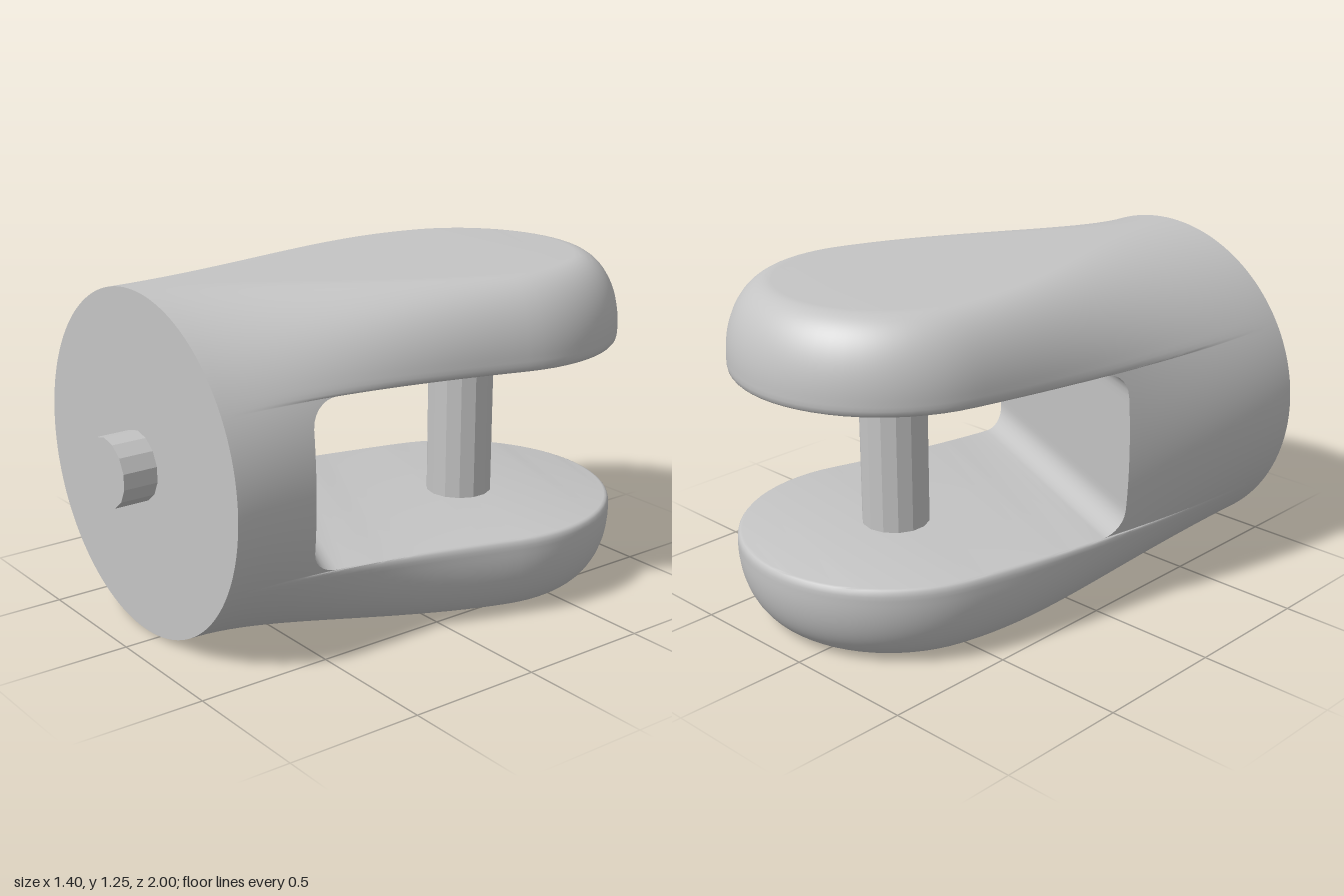
import * as THREE from 'three';
import { toCreasedNormals } from 'three/addons/utils/BufferGeometryUtils.js';

const MID_Y = 0.635, RADIUS = 0.625, FRONT_X = -0.085, FRONT_Z = 0.87;
const HALF_SLOT = 0.31;
const EYE = new THREE.Vector2(0.12, -0.425); // centre of the rounded fork end (x, z)

// Radius of the fork end at a height dy from the middle, with both edges rounded
function eyeRadius(dy) {
  const d = Math.abs(dy);
  const u = Math.min(1, Math.max(0, (d - 0.365) / 0.26));
  const e = 1 - Math.min(1, Math.max(0, (d - HALF_SLOT) / 0.025));
  return 0.575 - 0.17 * (1 - Math.sqrt(1 - u * u)) - 0.018 * (1 - Math.sqrt(1 - e * e));
}

// Side curve in plan, from the round front face to the fork end
function sideCurve(dy, s) {
  const c = Math.sqrt(Math.max(0, RADIUS * RADIUS - dy * dy));
  const R = eyeRadius(dy);
  const n = s < 0 ? new THREE.Vector2(-0.97, -0.243) : new THREE.Vector2(0.953, 0.302);
  const end = EYE.clone().addScaledVector(n, R);
  const x = FRONT_X + s * c;
  const ctrl = s < 0 ? end.clone().add(new THREE.Vector2(-0.12, 0.47))
                     : end.clone().add(new THREE.Vector2(-0.16, 0.51));
  return new THREE.CubicBezierCurve(new THREE.Vector2(x, FRONT_Z),
    new THREE.Vector2(x, s < 0 ? 0.35 : 0.55), ctrl, end);
}

// Where a side curve crosses the slanted slot wall (with its fillet)
function cutAt(curve, dy) {
  const f = Math.min(1, Math.max(0, Math.abs(dy) - 0.22) / 0.09);
  const d = 0.09 * (1 - Math.sqrt(1 - f * f));
  let lo = 0, hi = 1;
  for (let i = 0; i < 30; i++) {
    const t = (lo + hi) / 2, p = curve.getPoint(t);
    if ((p.x + 0.6) * 0.408 - (p.y - 0.05) * 0.913 < d) lo = t; else hi = t;
  }
  return lo;
}

const samples = (curve, a, b, n) =>
  Array.from({ length: n + 1 }, (_, i) => curve.getPoint(a + (b - a) * i / n));

// One horizontal slice: front parts of both sides, and the rear loop around the fork end
function slice(dy) {
  const L = sideCurve(dy, -1), Rt = sideCurve(dy, 1);
  const tl = cutAt(L, dy), tr = cutAt(Rt, dy), R = eyeRadius(dy);
  const a0 = Math.atan2(-0.243, -0.97) + Math.PI * 2, a1 = Math.atan2(0.302, 0.953) + Math.PI * 2;
  const arc = [];
  for (let i = 1; i < 33; i++) {
    const a = a0 + (a1 - a0) * i / 33;
    arc.push(new THREE.Vector2(EYE.x + R * Math.cos(a), EYE.y + R * Math.sin(a)));
  }
  const to3 = list => list.map(p => new THREE.Vector3(p.x, MID_Y + dy, p.y));
  const left = to3(samples(L, 0, tl, 14)), right = to3(samples(Rt, 0, tr, 14)).reverse();
  const rear = to3([...samples(L, tl, 1, 14), ...arc, ...samples(Rt, tr, 1, 14).reverse()]);
  return { rear, block: [...left, ...right], full: [...left, ...rear.slice(1, -1), ...right] };
}

function bodyGeometry() {
  const pos = [];
  const tri = (...pts) => pts.forEach(p => pos.push(p.x, p.y, p.z));
  const loft = rings => {
    for (let i = 0; i + 1 < rings.length; i++) {
      const a = rings[i], b = rings[i + 1], n = a.length;
      for (let j = 0; j < n; j++) {
        const k = (j + 1) % n;
        tri(a[j], b[j], a[k]);
        tri(a[k], b[j], b[k]);
      }
    }
  };
  const cap = (P, up) => {
    const n = P.length;
    for (let j = 0; j < n / 2 - 1; j++) {
      const a = P[j], b = P[j + 1], c = P[n - 2 - j], d = P[n - 1 - j];
      if (up) { tri(a, d, b); tri(b, d, c); } else { tri(a, b, d); tri(b, c, d); }
    }
  };

  // Solid block in front of the slot
  const mids = [];
  for (let i = 0; i <= 28; i++) mids.push(HALF_SLOT * Math.sin((i / 28 - 0.5) * Math.PI));
  loft(mids.map(y => slice(y).block));

  // Upper and lower fork arms
  const heights = [HALF_SLOT, 0.313, 0.32, 0.335];
  const start = Math.asin(0.35 / RADIUS);
  for (let i = 0; i <= 24; i++) {
    heights.push(RADIUS * Math.sin(start + (Math.PI / 2 - start) * i / 24));
  }
  const upper = heights.map(y => slice(y));
  const lower = heights.map(y => slice(-y)).reverse();
  loft(upper.map(s => s.full));
  loft(lower.map(s => s.full));
  cap(upper[upper.length - 1].full, true);
  cap(upper[0].rear, false);
  cap(lower[lower.length - 1].rear, true);
  cap(lower[0].full, false);

  const g = new THREE.BufferGeometry();
  g.setAttribute('position', new THREE.Float32BufferAttribute(pos, 3));
  return toCreasedNormals(g, 0.7);
}

export function createModel() {
  const group = new THREE.Group();
  group.name = 'forkJoint';
  const grey = new THREE.MeshStandardMaterial({ color: 0xc4c4c4 });
  grey.name = 'light grey';

  const add = (name, geometry, x, y, z) => {
    const mesh = new THREE.Mesh(geometry, grey);
    mesh.name = name;
    mesh.position.set(x, y, z);
    group.add(mesh);
    return mesh;
  };
  const rod = (r, h) => toCreasedNormals(new THREE.CylinderGeometry(r, r, h, 14), 0.3);

  add('forkBody', bodyGeometry(), 0, 0, 0);
  // Hinge pin across the slot
  add('hingePin', rod(0.125, 0.66), EYE.x, MID_Y, -0.42);
  // Short peg on the front face
  add('frontPeg', rod(0.127, 0.16), FRONT_X, MID_Y, 0.92).rotation.x = Math.PI / 2;
  return group;
}
